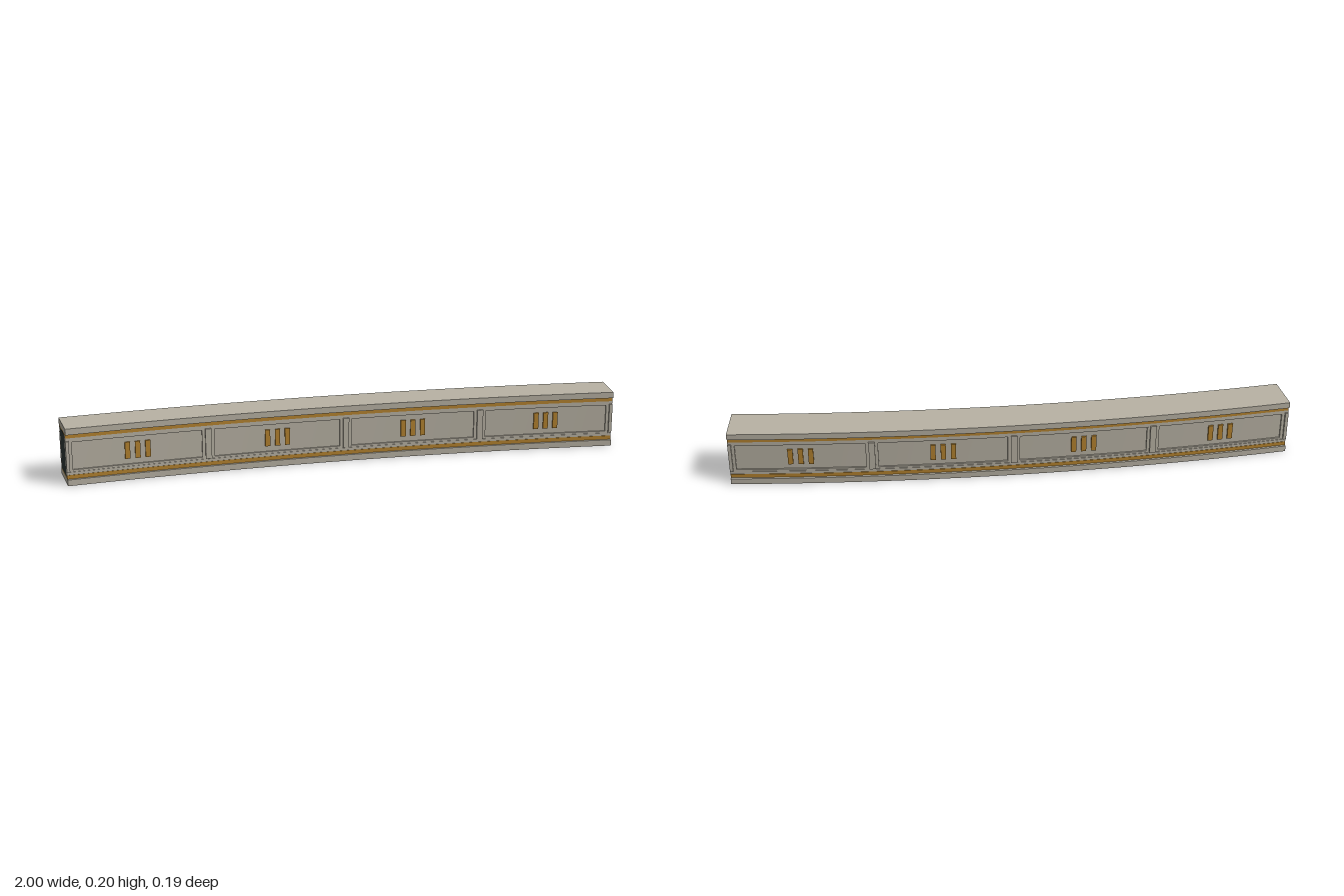
import * as THREE from 'three';

const A = 0.1;          // half angle of the arc
const R = 10.017;       // radius of the convex back face
const W = 0.14;         // beam depth
const H = 0.204;        // beam height
const BACK = -0.095;    // z of the back face at the middle

export function createModel() {
  const model = new THREE.Group();
  model.name = 'curvedBeam';
  const mat = (name, color) => {
    const m = new THREE.MeshStandardMaterial({ color });
    m.name = name;
    return m;
  };
  const stone = mat('stone', 0xb8b2a4);
  const gold = mat('gold', 0xb5832f);
  const dark = mat('darkCore', 0x2c3634);

  // Box bent along the arc: angles a0..a1, heights y0..y1, depths d0..d1 from the back face
  function bent(name, material, a0, a1, y0, y1, d0, d1) {
    const segs = Math.max(1, Math.round((a1 - a0) / 0.0063));
    const g = new THREE.BoxGeometry(a1 - a0, y1 - y0, d1 - d0, segs, 1, 1);
    g.translate((a0 + a1) / 2, (y0 + y1) / 2, (d0 + d1) / 2);
    const p = g.attributes.position;
    for (let i = 0; i < p.count; i++) {
      const t = p.getX(i), r = R - p.getZ(i);
      p.setXYZ(i, r * Math.sin(t), p.getY(i), BACK + R - r * Math.cos(t));
    }
    g.computeVertexNormals();
    const mesh = new THREE.Mesh(g, material);
    mesh.name = name;
    model.add(mesh);
  }

  // Same block on the back and on the front face, given by its insets
  function bothSides(name, material, a0, a1, y0, y1, outer, inner) {
    bent(name + 'Back', material, a0, a1, y0, y1, outer, inner);
    bent(name + 'Front', material, a0, a1, y0, y1, W - inner, W - outer);
  }

  const E = A + 0.00005;

  // Core, cap slabs and gold bands
  bent('core', dark, -E, E, 0.026, 0.178, 0.024, W - 0.024);
  bent('bottomSlab', stone, -A, A, 0, 0.022, 0, W);
  bent('topSlab', stone, -A, A, H - 0.022, H, 0, W);
  bent('bottomBand', gold, -A, A, 0.022, 0.036, 0.008, W - 0.008);
  bent('topBand', gold, -A, A, H - 0.036, H - 0.022, 0.008, W - 0.008);

  // Wall rails above and below the recessed panels, with a small moulding
  bothSides('lowerRail', stone, -E, E, 0.026, 0.053, 0.0115, 0.024);
  bothSides('upperRail', stone, -E, E, 0.152, 0.178, 0.0115, 0.024);
  bothSides('lowerMoulding', stone, -E, E, 0.036, 0.046, 0.0095, 0.012);
  bothSides('upperMoulding', stone, -E, E, 0.158, 0.168, 0.0095, 0.012);

  // Stiles and raised pilasters at the bay edges
  const bay = A / 2;
  for (let i = 0; i <= 4; i++) {
    const c = -A + i * bay;
    const span = (h) => [Math.max(-E, c - h), Math.min(E, c + h)];
    bothSides('stile', stone, ...span(0.0022), 0.053, 0.152, 0.0115, 0.024);
    bothSides('pilaster', stone, ...span(0.0011), 0.048, 0.157, 0.0047, 0.0118);
  }

  // Recessed panels, each with three gold bars
  for (let i = 0; i < 4; i++) {
    const c = -A + (i + 0.5) * bay;
    bothSides('panel', stone, c - bay / 2 + 0.002, c + bay / 2 - 0.002, 0.053, 0.152, 0.0175, 0.024);
    for (let k = -1; k <= 1; k++) {
      const b = c + k * 0.0036;
      bothSides('goldBar', gold, b - 0.0009, b + 0.0009, 0.073, 0.133, 0.0115, 0.018);
    }
  }
  return model;
}
